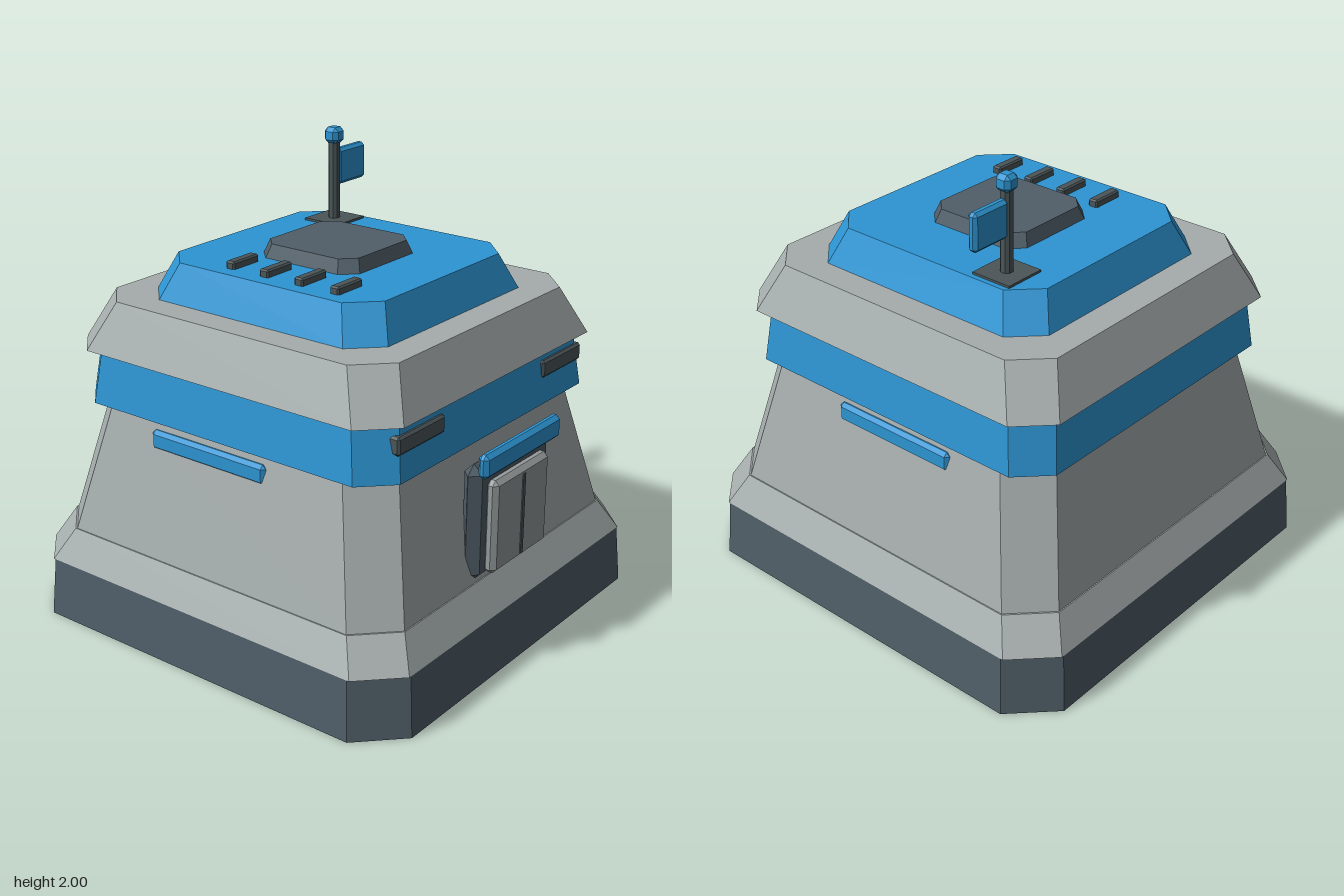
import * as THREE from 'three';
import { ConvexGeometry } from 'three/addons/geometries/ConvexGeometry.js';

const material = (name, color) => {
  const m = new THREE.MeshStandardMaterial({ color });
  m.name = name;
  return m;
};

// Eight corners of a chamfered rectangle at height y
function octagon(y, hx, hz, c) {
  const points = [];
  for (const sx of [-1, 1]) {
    for (const sz of [-1, 1]) {
      points.push(new THREE.Vector3(sx * hx, y, sz * (hz - c)));
      points.push(new THREE.Vector3(sx * (hx - c), y, sz * hz));
    }
  }
  return points;
}

// Tapered tier between two chamfered rectangles [y, halfX, halfZ, chamfer]
const tier = (bottom, top) => new ConvexGeometry([...octagon(...bottom), ...octagon(...top)]);

// Box with every edge and corner bevelled
function bevelBox(w, h, d, b) {
  const points = [];
  for (const x of [-1, 1]) for (const y of [-1, 1]) for (const z of [-1, 1]) {
    const p = [x * w / 2, y * h / 2, z * d / 2];
    const q = [p[0] - x * b, p[1] - y * b, p[2] - z * b];
    points.push(
      new THREE.Vector3(p[0], q[1], q[2]),
      new THREE.Vector3(q[0], p[1], q[2]),
      new THREE.Vector3(q[0], q[1], p[2])
    );
  }
  return new ConvexGeometry(points);
}

export function createModel() {
  const model = new THREE.Group();
  model.name = 'bunker';

  const wall = material('wallGrey', 0xa6adad);
  const blue = material('teamBlue', 0x2d95d3);
  const slate = material('slate', 0x505e68);
  const trim = material('darkTrim', 0x4b5659);
  const steel = material('doorSteel', 0x959b9b);

  const add = (name, geometry, mat, x = 0, y = 0, z = 0, parent = model) => {
    const mesh = new THREE.Mesh(geometry, mat);
    mesh.name = name;
    mesh.position.set(x, y, z);
    parent.add(mesh);
    return mesh;
  };

  // Stacked tiers, from the ground up
  add('base', tier([0, 1, 1, 0.18], [0.26, 0.98, 0.98, 0.175]), slate);
  add('skirt', tier([0.26, 0.98, 0.98, 0.165], [0.4, 0.905, 0.905, 0.16]), wall);
  add('walls', tier([0.4, 0.9, 0.9, 0.16], [0.98, 0.765, 0.77, 0.155]), wall);
  add('band', tier([0.97, 0.8, 0.82, 0.13], [1.215, 0.77, 0.79, 0.13]), blue);
  add('eaves', tier([1.21, 0.82, 0.84, 0.14], [1.42, 0.725, 0.745, 0.14]), wall);
  add('roof', tier([1.42, 0.595, 0.61, 0.125], [1.575, 0.525, 0.545, 0.12]), blue);
  add('hatch', tier([1.57, 0.252, 0.258, 0.065], [1.633, 0.227, 0.235, 0.06]), slate);

  // Roof vents
  for (let i = 0; i < 4; i++) {
    add('roofVent', bevelBox(0.158, 0.04, 0.046, 0.007), trim, -0.382, 1.587, -0.205 + i * 0.181);
  }

  // Flag on its pole
  const flag = new THREE.Group();
  flag.name = 'flagPole';
  flag.position.set(0.407, 0, -0.34);
  model.add(flag);
  add('poleFoot', new THREE.BoxGeometry(0.19, 0.03, 0.19), trim, 0, 1.57, 0, flag);
  add('pole', bevelBox(0.048, 0.38, 0.048, 0.012), trim, 0, 1.76, 0, flag);
  add('finial', bevelBox(0.075, 0.073, 0.075, 0.018), blue, 0, 1.9635, 0, flag);
  add('flag', bevelBox(0.195, 0.165, 0.045, 0.014), blue, 0.107, 1.817, 0, flag);

  // Front entrance
  const entrance = new THREE.Group();
  entrance.name = 'entrance';
  model.add(entrance);
  add('doorFrame', bevelBox(0.57, 0.525, 0.086, 0.042), slate, 0, 0.658, 0.872, entrance);
  add('door', bevelBox(0.41, 0.415, 0.06, 0.02), steel, 0, 0.637, 0.929, entrance);
  add('doorSeam', new THREE.BoxGeometry(0.018, 0.36, 0.008), trim, 0, 0.636, 0.96, entrance);
  add('awning', bevelBox(0.57, 0.105, 0.05, 0.018), blue, 0, 0.932, 0.935, entrance);

  // Mirrored window slots and side strips
  for (const side of [-1, 1]) {
    add('windowSlot', bevelBox(0.31, 0.078, 0.055, 0.01), trim, side * 0.52, 1.12, 0.787);
    add('sideStrip', bevelBox(0.065, 0.088, 0.615, 0.016), blue, side * 0.766, 0.885, -0.06);
  }

  return model;
}
